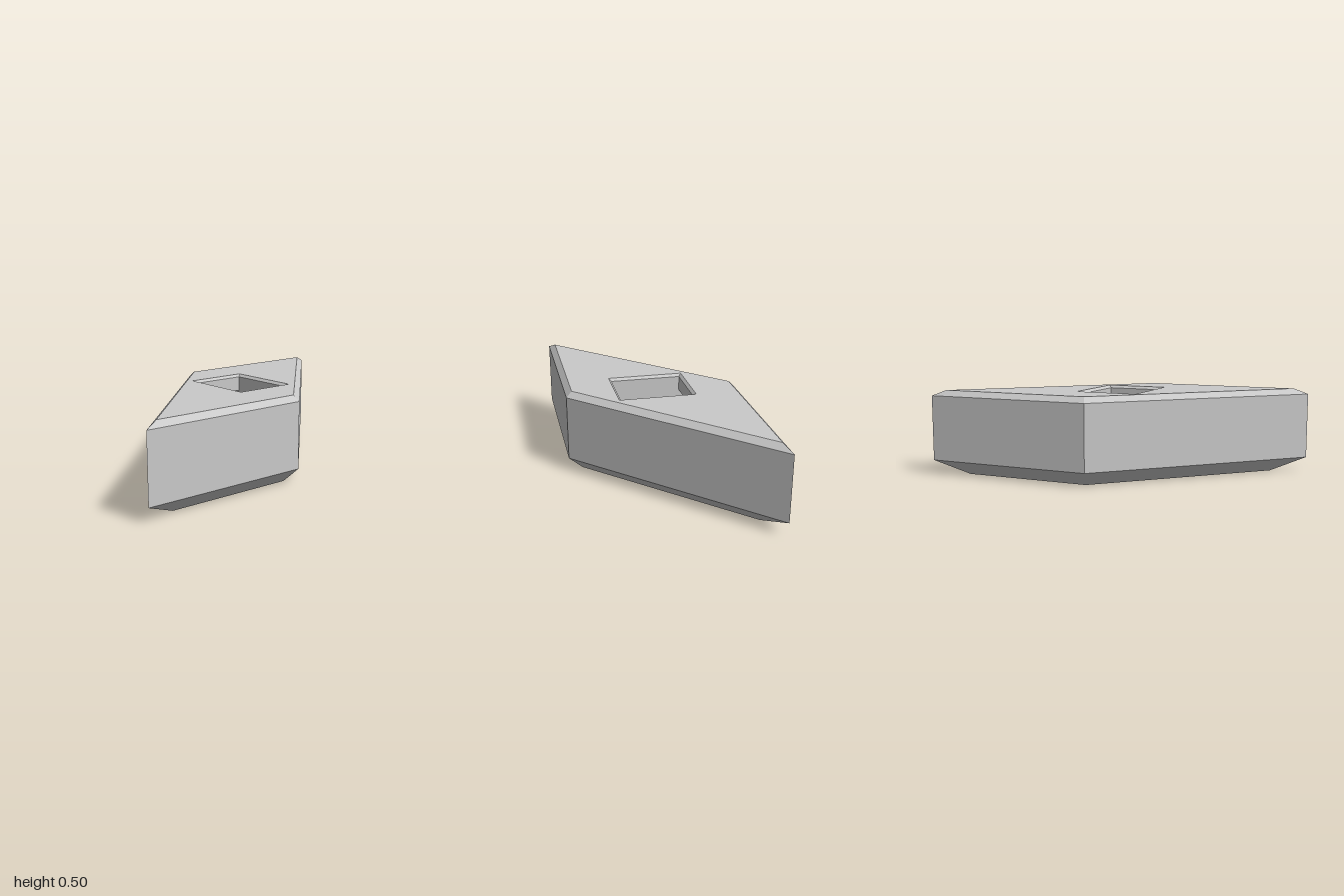
import * as THREE from 'three';

// Joins a list of 4-corner rings (counter-clockwise from above) with flat quads.
// Rings listed upwards face outwards; rings listed downwards face inwards.
function loft(rings, capFirst, capLast) {
  const pos = [];
  const quad = (a, b, c, d) => pos.push(...a, ...b, ...c, ...a, ...c, ...d);
  for (let r = 0; r < rings.length - 1; r++) {
    for (let i = 0; i < 4; i++) {
      const j = (i + 1) % 4;
      quad(rings[r][i], rings[r][j], rings[r + 1][j], rings[r + 1][i]);
    }
  }
  if (capFirst) quad(...[...rings[0]].reverse());
  if (capLast) quad(...rings[rings.length - 1]);
  const geo = new THREE.BufferGeometry();
  geo.setAttribute('position', new THREE.Float32BufferAttribute(pos, 3));
  geo.computeVertexNormals();
  return geo;
}

// Slanted outline moved inwards by d on all sides
function slantRing(d, y) {
  const far = 1 - d * (1 + Math.SQRT2);
  const near = d * (Math.SQRT2 - 1);
  const z = 0.5 - d;
  return [[-far, y, z], [-near, y, z], [far, y, -z], [near, y, -z]];
}

// Rectangular outline of the socket
function rectRing(x, z, y) {
  return [[-x, y, z], [x, y, z], [x, y, -z], [-x, y, -z]];
}

export function createModel() {
  const model = new THREE.Group();
  model.name = 'slantedBlock';
  const grey = new THREE.MeshStandardMaterial({ color: 0xc9c9c9 });
  grey.name = 'grey';

  const add = (name, geo) => {
    const mesh = new THREE.Mesh(geo, grey);
    mesh.name = name;
    model.add(mesh);
  };

  // Body sides with a wide bottom chamfer and a narrow top chamfer
  const topRing = slantRing(0.033, 0.5);
  add('body', loft([
    slantRing(0.083, 0), slantRing(0, 0.083), slantRing(0, 0.467), topRing,
  ], true, false));

  // Top face with the socket opening
  const lip = rectRing(0.183, 0.223, 0.5);
  const flat = (ring) => ring.map(([x, , z]) => new THREE.Vector2(x, -z));
  const shape = new THREE.Shape(flat(topRing));
  shape.holes.push(new THREE.Path(flat(lip)));
  add('topFace', new THREE.ShapeGeometry(shape).rotateX(-Math.PI / 2).translate(0, 0.5, 0));

  // Socket: chamfered lip, straight neck, undercut groove at front and back, floor
  add('socket', loft([
    lip,
    rectRing(0.167, 0.208, 0.485),
    rectRing(0.167, 0.208, 0.4),
    rectRing(0.167, 0.237, 0.373),
    rectRing(0.167, 0.237, 0.303),
    rectRing(0.167, 0.172, 0.238),
  ], false, true));

  return model;
}
